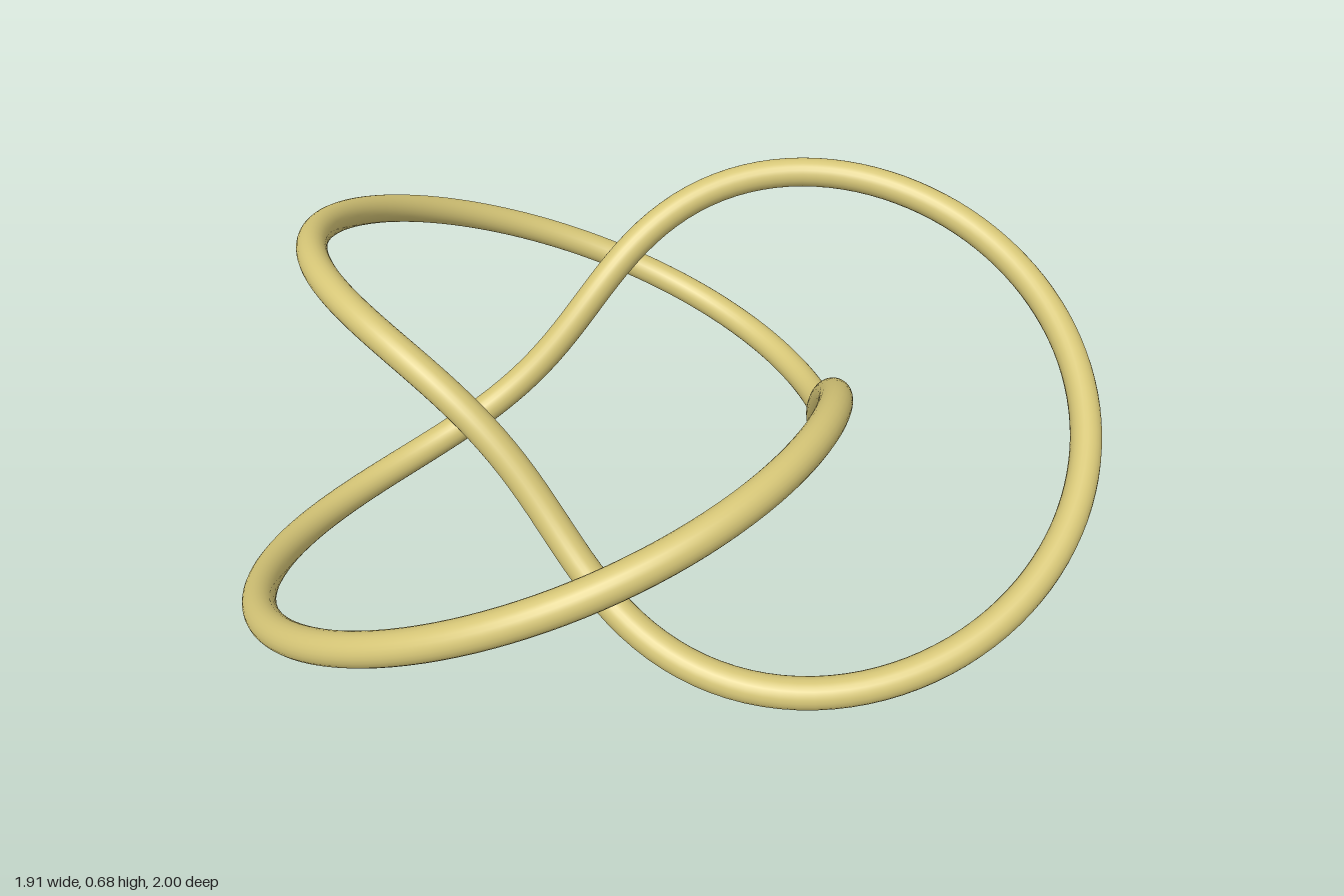
import * as THREE from 'three';

const RING = 0.717;  // radius of the knot's centre circle
const SWING = 0.302; // how far the strand swings in, out, up and down
const TUBE = 0.036;  // strand thickness (radius)

// Trefoil: two turns around the y axis, three around the ring
class TrefoilCurve extends THREE.Curve {
  getPoint(u, target = new THREE.Vector3()) {
    const t = u * Math.PI * 2;
    const r = RING + SWING * Math.cos(3 * t);
    return target.set(r * Math.cos(2 * t), -SWING * Math.sin(3 * t), r * Math.sin(2 * t));
  }
}

export function createModel() {
  const model = new THREE.Group();
  model.name = 'trefoilKnot';

  const paleGold = new THREE.MeshStandardMaterial({ color: 0xd6c677 });
  paleGold.name = 'paleGold';

  const geometry = new THREE.TubeGeometry(new TrefoilCurve(), 300, TUBE, 24, true);

  // Centre the bounds on x and z and stand the knot on the ground
  geometry.computeBoundingBox();
  const { min, max } = geometry.boundingBox;
  geometry.translate(-(min.x + max.x) / 2, -min.y, -(min.z + max.z) / 2);

  const strand = new THREE.Mesh(geometry, paleGold);
  strand.name = 'knotStrand';
  model.add(strand);
  return model;
}
